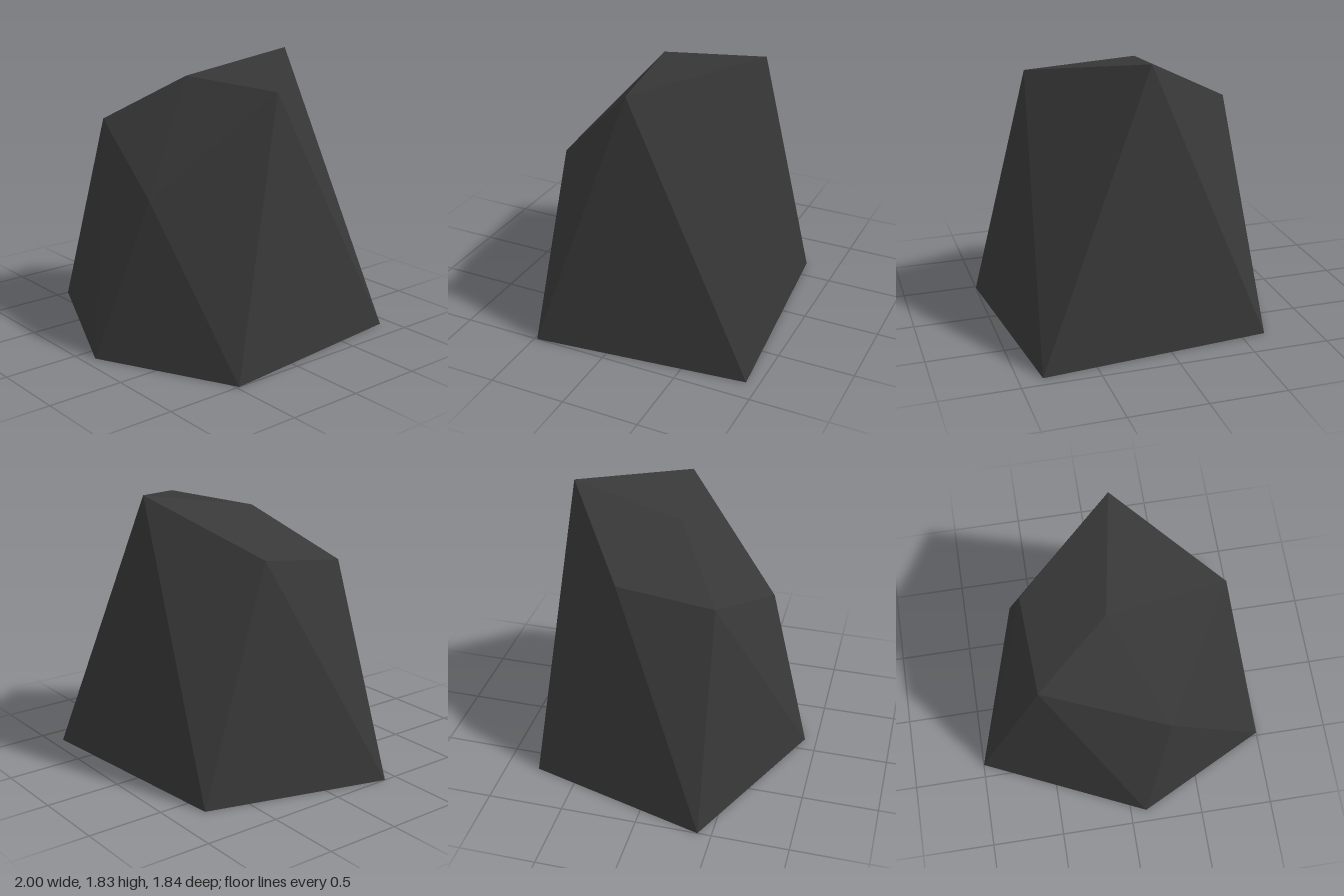
import * as THREE from 'three';

export function createModel() {
  const group = new THREE.Group();
  group.name = 'boulder';

  const stone = new THREE.MeshStandardMaterial({ color: 0x383838 });
  stone.name = 'dark stone';
  stone.flatShading = true;

  // Corners: a ground ring, then the shoulders and crown
  const corners = {
    A: [-1, 0, 0.41], B: [0.11, 0, 0.92], C: [1, 0, 0.48], D: [0.85, 0, -0.92], E: [-0.66, 0, -0.78],
    F: [0.09, 1.83, -0.69], G: [0.72, 1.69, -0.05], H: [-0.04, 1.7, 0.06],
    I: [-0.55, 1.47, -0.23], J: [-0.52, 1.38, 0.39], K: [0.3, 1.03, 0.62],
  };

  // Facets, counter-clockwise from outside; each is cut as a fan
  const facets = [
    'EDCBA',                        // underside
    'ABJ', 'BKJ', 'BCK', 'CGK',     // front
    'CDG', 'DFG',                   // left flank
    'DEF', 'EIF',                   // back
    'EAI', 'AJI',                   // right flank
    'JKH', 'KGH', 'GFH', 'FIH', 'IJH', // crown
  ];
  const positions = [];
  for (const facet of facets) {
    for (let i = 1; i < facet.length - 1; i++) {
      for (const key of [facet[0], facet[i], facet[i + 1]]) positions.push(...corners[key]);
    }
  }

  const geometry = new THREE.BufferGeometry();
  geometry.setAttribute('position', new THREE.Float32BufferAttribute(positions, 3));
  geometry.computeVertexNormals();

  const rock = new THREE.Mesh(geometry, stone);
  rock.name = 'rock';
  group.add(rock);
  return group;
}
